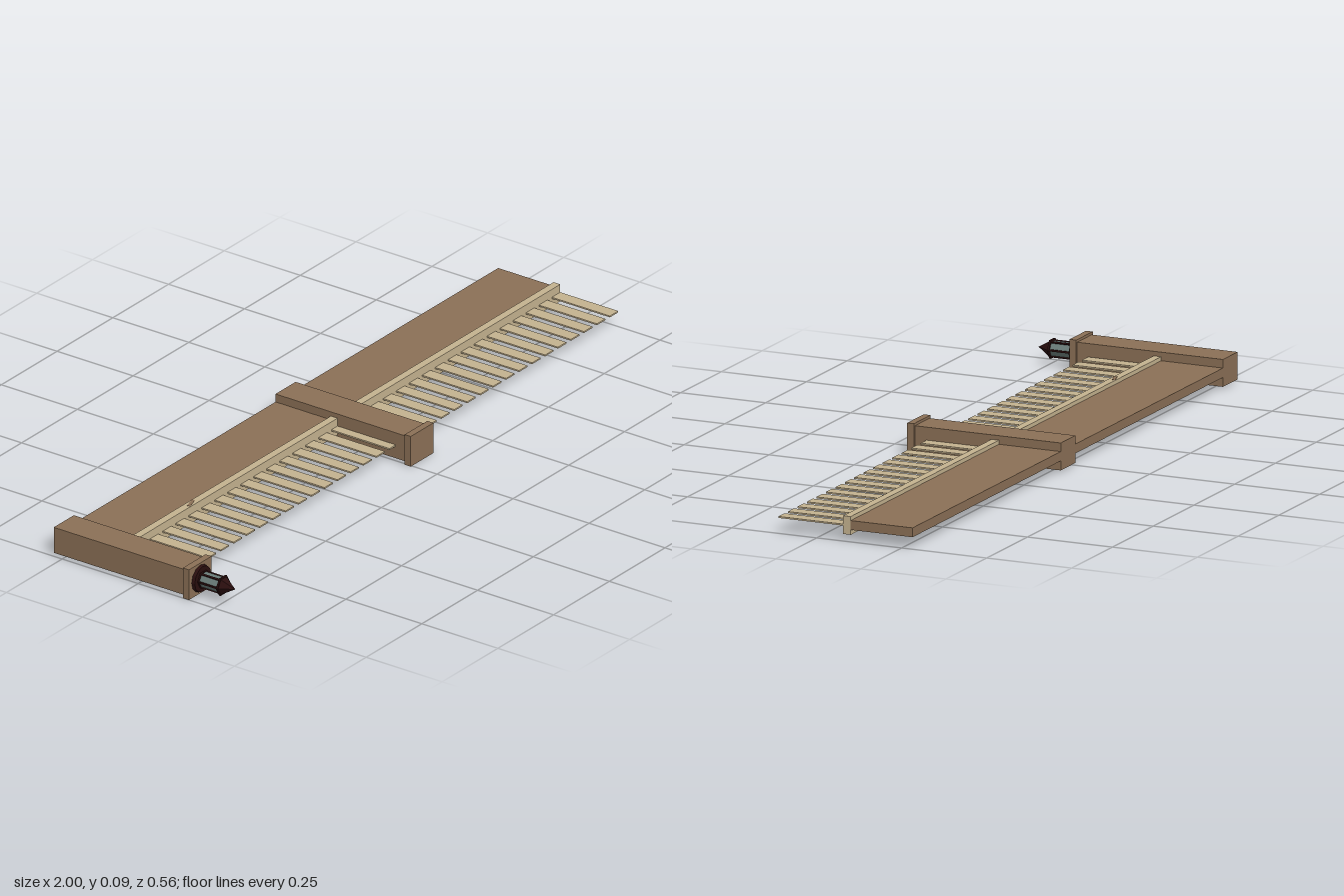
import * as THREE from 'three';

const mat = (name, color, flatShading = true) => {
  const m = new THREE.MeshStandardMaterial({ color });
  m.name = name;
  m.flatShading = flatShading;
  return m;
};

export function createModel() {
  const brown = mat('brownWood', 0x8b7056);
  const beige = mat('paleWood', 0xc4b28f);
  const iron = mat('darkIron', 0x2a0e0e);
  const glass = mat('lanternGlass', 0x6b7d7a);

  const root = new THREE.Group();
  root.name = 'fenceSection';
  const CY = 0.0455; // shared mid height

  const add = (parent, name, geometry, material) => {
    const m = new THREE.Mesh(geometry, material);
    m.name = name;
    parent.add(m);
    return m;
  };
  // Box given by its limits on each axis
  const box = (parent, name, material, [x0, x1], [y0, y1], [z0, z1]) => {
    const m = add(parent, name, new THREE.BoxGeometry(x1 - x0, y1 - y0, z1 - z0), material);
    m.position.set((x0 + x1) / 2, (y0 + y1) / 2, (z0 + z1) / 2);
    return m;
  };

  // Posts with wider end caps
  const postX = [-0.949, 0.046];
  for (const x of postX) {
    box(root, 'post', brown, [x - 0.045, x + 0.045], [CY - 0.0375, CY + 0.0375], [-0.282, 0.148]);
    box(root, 'postCap', brown, [x - 0.051, x + 0.051], [0.001, 0.09], [0.147, 0.167]);
  }

  // Solid panel and rail in each bay
  for (const span of [[-0.904, 0.001], [0.091, 1]]) {
    box(root, 'panel', brown, span, [0.034, 0.0595], [-0.282, -0.1]);
    box(root, 'rail', beige, span, [0.0205, 0.0705], [-0.1, -0.078]);
  }

  // Small chip on the rail
  const chip = box(root, 'railChip', brown, [-0.66, -0.622], [0.0703, 0.0715], [-0.094, -0.085]);
  chip.rotation.y = 0.3;

  // Thin slats, leaving out the one hidden in the middle post
  const count = 33, first = -0.881, last = 0.981;
  for (let i = 0; i < count; i++) {
    const x = first + (last - first) * i / (count - 1);
    if (Math.abs(x - postX[1]) < 0.02) continue;
    box(root, 'slat', beige, [x - 0.0187, x + 0.0187], [0.0432, 0.0474], [-0.08, 0.113]);
  }

  // Six-sided lantern on the end post, pointing along +z
  const lantern = new THREE.Group();
  lantern.name = 'lantern';
  lantern.position.set(postX[0], CY, 0);
  root.add(lantern);
  const drum = (name, material, rTip, rBase, z0, z1, sides) => {
    const g = new THREE.CylinderGeometry(rTip, rBase, z1 - z0, sides, 1, false, Math.PI / 2);
    g.rotateX(Math.PI / 2);
    add(lantern, name, g, material).position.z = (z0 + z1) / 2;
  };
  drum('lanternBase', iron, 0.037, 0.039, 0.167, 0.176, 12);
  drum('lanternPanes', glass, 0.0225, 0.0225, 0.176, 0.241, 6);
  drum('lanternSill', iron, 0.0255, 0.0255, 0.176, 0.18, 6);
  drum('lanternRim', iron, 0.029, 0.029, 0.239, 0.244, 6);
  drum('lanternRoof', iron, 0, 0.025, 0.244, 0.282, 6);
  for (let i = 0; i < 6; i++) {
    const a = i * Math.PI / 3;
    const bar = add(lantern, 'lanternBar', new THREE.BoxGeometry(0.005, 0.005, 0.065), iron);
    bar.position.set(Math.cos(a) * 0.022, Math.sin(a) * 0.022, 0.2085);
    bar.rotation.z = a;
  }

  return root;
}
